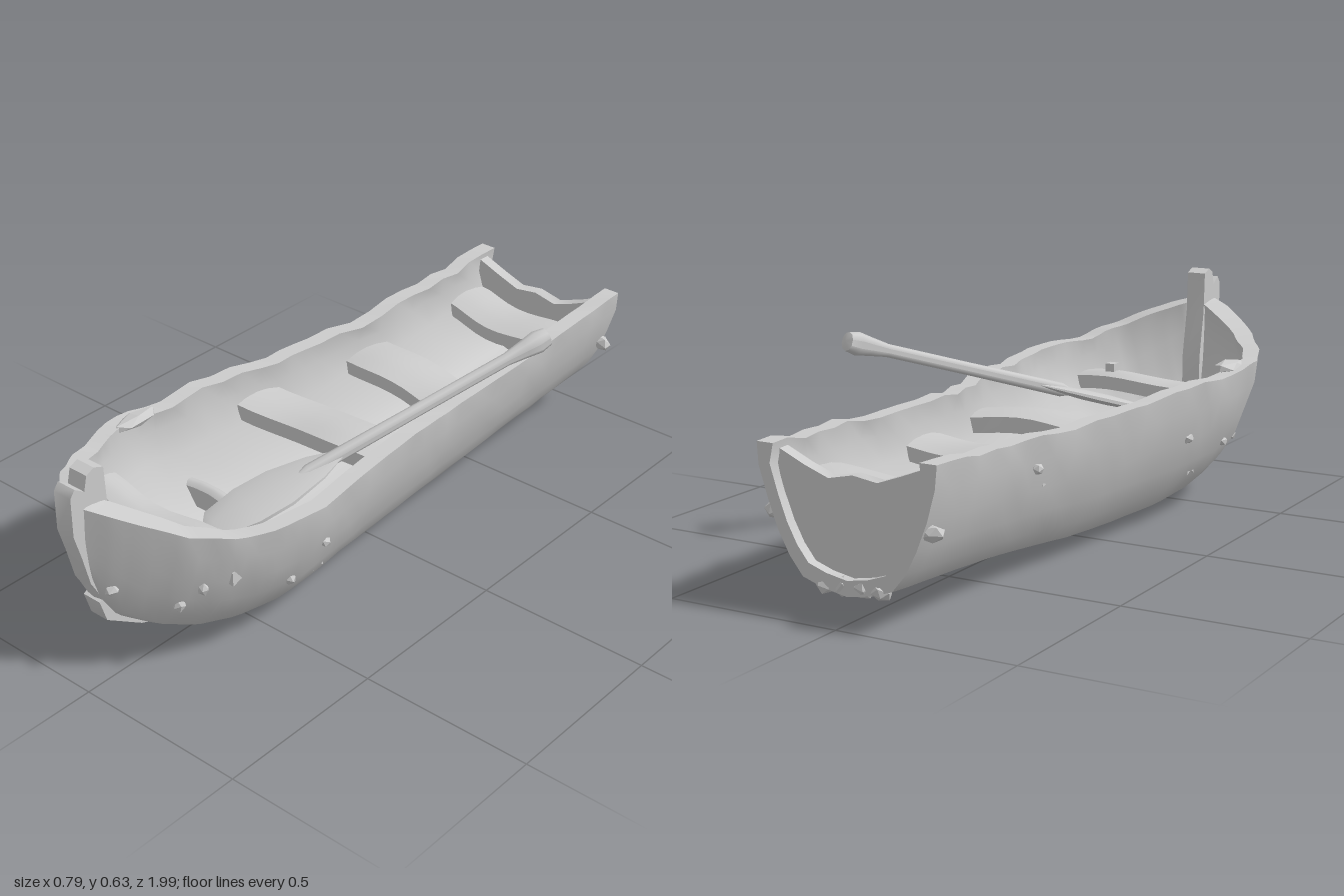
import * as THREE from 'three';
import { toCreasedNormals } from 'three/addons/utils/BufferGeometryUtils.js';

const material = new THREE.MeshStandardMaterial({ color: 0xcccccc, side: THREE.DoubleSide });

// Hull stations: z, centre x, half width, rim y, keel y
const STATIONS = [
  [-0.98, -0.022, 0.255, 0.43, 0.08], [-0.75, -0.024, 0.26, 0.42, 0.068], [-0.5, -0.025, 0.265, 0.405, 0.052],
  [-0.2, -0.038, 0.28, 0.4, 0.022], [0, -0.043, 0.3, 0.41, 0.012], [0.25, -0.045, 0.332, 0.418, 0.009],
  [0.45, -0.038, 0.355, 0.42, 0.017], [0.6, -0.038, 0.337, 0.422, 0.038], [0.72, -0.037, 0.29, 0.435, 0.073],
  [0.81, -0.033, 0.23, 0.46, 0.115], [0.88, -0.032, 0.155, 0.495, 0.165], [0.93, -0.032, 0.09, 0.52, 0.24],
  [0.965, -0.032, 0.03, 0.535, 0.34],
];
// Half section as fractions of half width and height, keel to rim
const SECTION = [[0, 0], [0.27, 0.035], [0.51, 0.092], [0.655, 0.225], [0.785, 0.4], [0.885, 0.6], [0.968, 0.82], [1, 1]];

const stationCurve = new THREE.CatmullRomCurve3(STATIONS.map(s => new THREE.Vector3(s[0], s[1], s[2])));
function station(z) {
  let i = 0;
  while (i < STATIONS.length - 2 && STATIONS[i + 1][0] < z) i++;
  const a = STATIONS[i], b = STATIONS[i + 1];
  const t = THREE.MathUtils.clamp((z - a[0]) / (b[0] - a[0]), 0, 1);
  return a.map((v, k) => THREE.MathUtils.lerp(v, b[k], t));
}

// Half width of the outer skin at a given length and height
function halfWidth(z, y) {
  const [, , w, rim, keel] = station(z);
  const h = THREE.MathUtils.clamp((y - keel) / (rim - keel), 0.01, 1);
  const k = SECTION.findIndex(p => p[1] >= h);
  const [a, b] = [SECTION[k - 1], SECTION[k]];
  return w * THREE.MathUtils.lerp(a[0], b[0], (h - a[1]) / (b[1] - a[1]));
}

function add(parent, name, geometry, crease = 0.7) {
  const mesh = new THREE.Mesh(toCreasedNormals(geometry, crease), material);
  mesh.name = name;
  parent.add(mesh);
  return mesh;
}

// Closed hull shell: outer skin, thick rim and thinner inner skin in each ring
function hullGeometry() {
  const half = SECTION.length, across = 2 * half - 1, ring = 2 * across, count = 44;
  const pos = [], index = [];
  for (let k = 0; k <= count; k++) {
    const z = stationCurve.getPoint(k / count).x;
    const [, cx, w, rim, keel] = station(z);
    const bow = THREE.MathUtils.smoothstep(z, 0.6, 0.97);
    for (let i = 0; i < ring; i++) {
      const inner = i >= across;
      const j = inner ? ring - 1 - i : i;
      const side = j < half ? 1 : -1;
      const [fx, fy] = SECTION[Math.abs(half - 1 - j)];
      // Weathered, hand-hewn dents, fading at the stem
      const wave = (Math.sin(z * 17 + j * 5.3) + Math.sin(z * 39 + j * 9.1 + Math.sin(z * 7) * 3)) * 0.5 * (1 - bow);
      const thick = fy > 0.9 ? 0.048 : 0.034;
      const wall = inner ? Math.max(w - thick, w * 0.4) : w;
      pos.push(
        cx + side * (wall + wave * 0.006) * fx,
        keel + (rim - keel) * fy + (inner ? 0.04 * (1 - fy) : 0) + wave * 0.008 * fy,
        z - (inner ? 0.05 * bow : 0));
    }
  }
  for (let k = 0; k < count; k++) {
    for (let i = 0; i < ring; i++) {
      const n = (i + 1) % ring, a = k * ring + i, b = k * ring + n;
      index.push(a, a + ring, b, b, a + ring, b + ring);
    }
  }
  // Join outer and inner skins at both ends
  for (const [base, stern] of [[0, true], [count * ring, false]]) {
    for (let i = 0; i < across - 1; i++) {
      const o = base + i, p = o + 1, q = base + ring - 1 - i, r = q - 1;
      if (stern) index.push(o, p, q, p, r, q);
      else index.push(o, q, p, p, q, r);
    }
  }
  const g = new THREE.BufferGeometry();
  g.setAttribute('position', new THREE.Float32BufferAttribute(pos, 3));
  g.setIndex(index);
  return g;
}

// Recessed stern board with a dipped top edge
function transomGeometry() {
  const [, cx, w, rim, keel] = station(-0.93);
  const edge = s => SECTION.map(([x, y]) => new THREE.Vector2(cx + s * x * (w - 0.02), keel + 0.02 + y * (rim - keel - 0.025)));
  const top = [-0.14, -0.07, 0, 0.07, 0.14].map((x, i) => new THREE.Vector2(cx + x, [0.385, 0.36, 0.37, 0.355, 0.38][i]));
  const shape = new THREE.Shape([...edge(1), ...top.reverse(), ...edge(-1).reverse().slice(0, -1)]);
  const g = new THREE.ExtrudeGeometry(shape, { depth: 0.035, bevelEnabled: false });
  return g.translate(0, 0, -0.95);
}

// Flat profile in z and y, extruded across the boat
function sideProfile(points, width) {
  const shape = new THREE.Shape(points.map(p => new THREE.Vector2(...p)));
  return new THREE.ExtrudeGeometry(shape, { depth: width, bevelEnabled: false })
    .rotateY(-Math.PI / 2).translate(-0.035 + width / 2, 0, 0);
}

// Worn plank across the hull: skewed, warped and rounded along its edges
function plankGeometry(z, y, depth, thick, skew) {
  const reach = halfWidth(z, y) - 0.02;
  const g = new THREE.BoxGeometry(2 * reach, thick, depth, 10, 1, 4);
  const p = g.attributes.position;
  for (let i = 0; i < p.count; i++) {
    const x = p.getX(i), zz = p.getZ(i);
    p.setY(i, p.getY(i) - (2 * zz / depth) ** 2 * 0.012 + Math.sin(x * 14 + z * 9) * 0.008);
    p.setZ(i, zz + x * skew + Math.sin(x * 17 + z * 5) * 0.008);
  }
  return g.translate(station(z)[1], y, z);
}

function createOar() {
  const oar = new THREE.Group();
  oar.name = 'oar';
  const tip = new THREE.Vector3(0.367, 0.566, -0.397), end = new THREE.Vector3(-0.02, 0.25, 0.56);
  const dir = end.clone().sub(tip), length = dir.length();
  dir.normalize();
  const side = dir.clone().cross(new THREE.Vector3(0, 1, 0)).normalize();
  oar.quaternion.setFromRotationMatrix(new THREE.Matrix4().makeBasis(side, dir, side.clone().cross(dir)));
  oar.position.copy(tip);
  const lathe = pts => new THREE.LatheGeometry(pts.map(p => new THREE.Vector2(...p)), 10);
  add(oar, 'oarShaft', lathe([[0, -0.02], [0.026, -0.012], [0.032, 0.02], [0.026, 0.06], [0.018, 0.12],
    [0.018, 0.4], [0.02, 0.75], [0, 0.82]]), 1);
  const blade = lathe([[0, 0.62], [0.022, 0.66], [0.058, 0.73], [0.088, 0.84], [0.09, 0.94], [0.065, 1.04], [0, length]]);
  add(oar, 'oarBlade', blade.scale(1, 1, 0.17), 1);
  return oar;
}

export function createModel() {
  const boat = new THREE.Group();
  boat.name = 'rowingBoat';
  add(boat, 'hull', hullGeometry(), 0.9);
  add(boat, 'transom', transomGeometry());

  // Keel strip with a blunt front end, and the forked stem post
  add(boat, 'keel', sideProfile([[-0.1, 0.018], [0.05, 0.002], [0.25, 0], [0.45, 0.006], [0.63, 0.03], [0.8, 0.1],
    [0.915, 0.175], [0.935, 0.24], [0.9, 0.26], [0.8, 0.16], [0.65, 0.08], [0.3, 0.04], [-0.1, 0.04]], 0.058));
  add(boat, 'stemPost', sideProfile([[0.925, 0.25], [0.958, 0.31], [0.98, 0.4], [1, 0.47], [1, 0.58], [0.985, 0.6],
    [0.955, 0.58], [0.945, 0.62], [0.92, 0.632], [0.89, 0.62], [0.885, 0.5], [0.86, 0.36], [0.86, 0.25]], 0.058));

  // Seats and floor rib: z, y, depth, thickness, skew
  const planks = [
    ['sternSeat', -0.81, 0.31, 0.16, 0.04, 0.12], ['rearSeat', -0.36, 0.3, 0.17, 0.04, 0.13],
    ['middleSeat', 0.02, 0.31, 0.15, 0.045, -0.04], ['floorRib', 0.35, 0.17, 0.04, 0.06, 0.03],
    ['bowSeat', 0.645, 0.31, 0.09, 0.04, 0.03],
  ];
  for (const [name, ...size] of planks) add(boat, name, plankGeometry(...size));
  add(boat, 'seatPeg', new THREE.BoxGeometry(0.03, 0.04, 0.03).translate(0.13, 0.34, 0.645));

  boat.add(createOar());

  // Raised rim block on the right, and small crusted lumps on the skin
  const lump = (name, x, y, z, sx, sy, sz) => {
    const mesh = add(boat, name, new THREE.IcosahedronGeometry(1, 0), 0.4);
    mesh.position.set(x, y, z);
    mesh.scale.set(sx, sy, sz);
    mesh.rotation.set(x * 9, 0, y * 7);
  };
  lump('rimBlock', -0.345, 0.425, 0.47, 0.035, 0.018, 0.08);
  // Lumps: side, y, z
  const lumps = [[-1, 0.27, 0.78], [-1, 0.18, 0.66], [-1, 0.2, 0.48], [-1, 0.26, 0.22], [-1, 0.3, 0.88],
    [1, 0.29, 0.92], [1, 0.23, 0.8], [1, 0.28, 0.76], [1, 0.19, 0.5], [1, 0.27, 0.4]];
  for (const [side, y, z] of lumps) {
    lump('hullLump', station(z)[1] + side * (halfWidth(z, y) - 0.006), y, z, 0.016, 0.02, 0.024);
  }
  for (const x of [-0.11, -0.06, 0, 0.05]) lump('sternLump', x, 0.1, -0.965, 0.028, 0.028, 0.02);
  for (const side of [-1, 1]) lump('sternSideLump', -0.022 + side * 0.225, 0.26, -0.955, 0.02, 0.035, 0.025);
  lump('hullNub', -0.29, 0.33, -0.54, 0.015, 0.015, 0.015);
  return boat;
}
